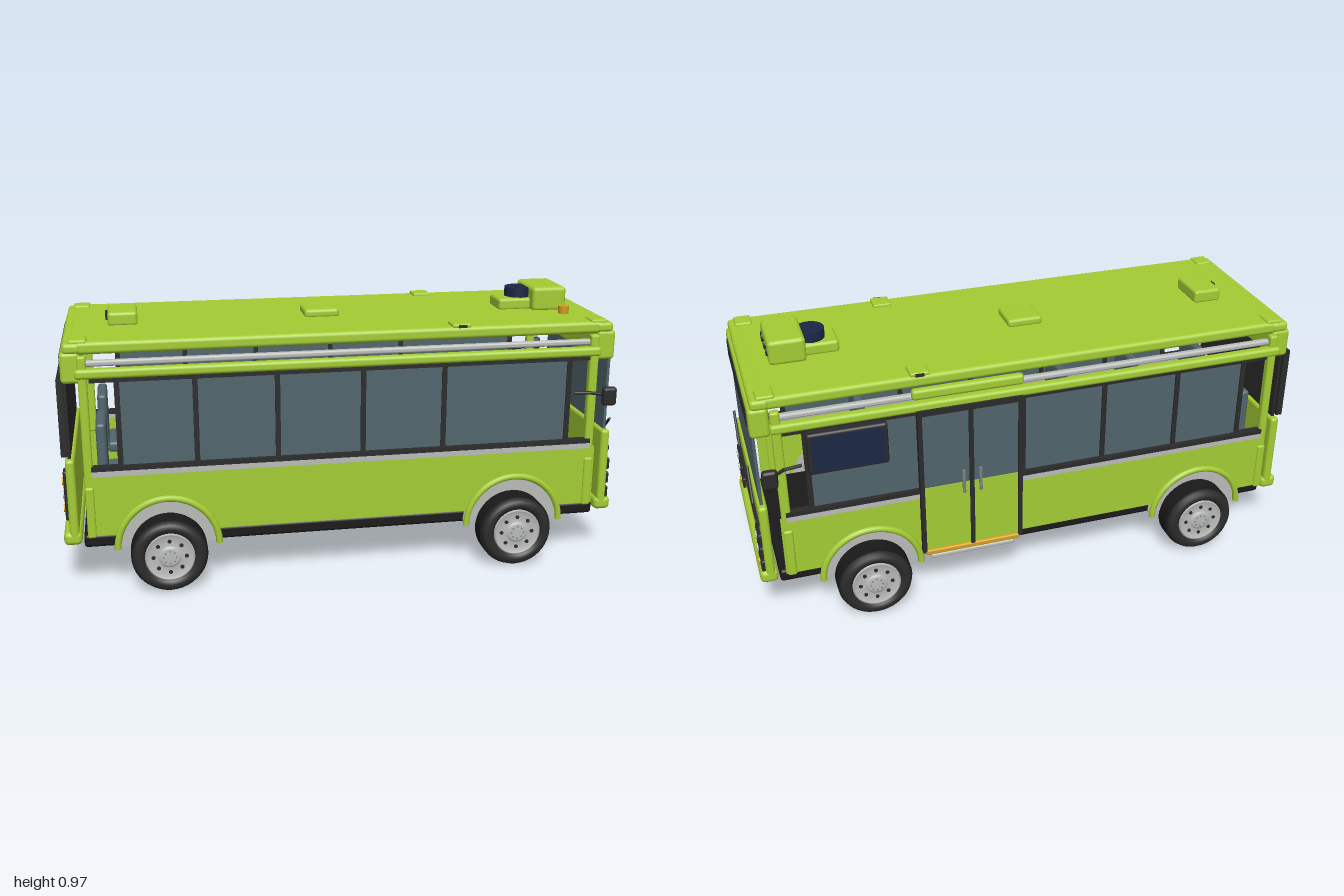
import * as THREE from 'three';
import { RoundedBoxGeometry } from 'three/addons/geometries/RoundedBoxGeometry.js';

const mat = (name, color) => Object.assign(new THREE.MeshStandardMaterial({ color }), { name });

export function createModel() {
  const lime = mat('lime paint', 0xa4cc34), dark = mat('dark trim', 0x2b2b2b), black = mat('black rubber', 0x1a1a1a);
  const glass = mat('tinted glass', 0x50656c), grey = mat('light grey', 0xb9bbb9), amber = mat('amber', 0xd4a021);
  const navy = mat('navy lens', 0x1c2745), steel = mat('steel', 0x7d8587);
  const bus = new THREE.Group();
  bus.name = 'bus';

  const add = (name, geo, m, parent = bus) => {
    const mesh = new THREE.Mesh(geo, m);
    mesh.name = name;
    parent.add(mesh);
    return mesh;
  };
  // boxes given by their limits on each axis; r > 0 rounds the edges
  const box = (name, m, x0, x1, y0, y1, z0, z1, r = 0) => {
    const [za, zb] = z0 < z1 ? [z0, z1] : [z1, z0];
    const w = x1 - x0, h = y1 - y0, d = zb - za;
    const geo = r ? new RoundedBoxGeometry(w, h, d, 3, r) : new THREE.BoxGeometry(w, h, d);
    geo.translate((x0 + x1) / 2, (y0 + y1) / 2, (za + zb) / 2);
    return add(name, geo, m);
  };
  const rod = (name, m, a, b, r) => {
    const p = new THREE.Vector3(...a), q = new THREE.Vector3(...b), dir = q.clone().sub(p);
    const mesh = add(name, new THREE.CylinderGeometry(r, r, dir.length(), 10), m);
    mesh.position.copy(p).add(q).multiplyScalar(0.5);
    mesh.quaternion.setFromUnitVectors(new THREE.Vector3(0, 1, 0), dir.normalize());
    return mesh;
  };

  const axles = [-0.64, 0.61];

  // chassis and roof
  box('chassis', black, -0.93, 0.93, 0.15, 0.197, -0.312, 0.312, 0.012);
  box('roof', lime, -0.94, 0.93, 0.842, 0.885, -0.322, 0.322, 0.014);

  // side panel outline with wheel cut-outs
  const outline = new THREE.Shape();
  outline.moveTo(-0.91, 0.207);
  for (const x of axles) {
    const a = Math.asin((0.207 - 0.15) / 0.18);
    outline.lineTo(x - 0.18 * Math.cos(a), 0.207);
    outline.absarc(x, 0.15, 0.18, Math.PI - a, a, true);
  }
  outline.lineTo(0.91, 0.207);
  outline.lineTo(0.91, 0.425);
  outline.lineTo(-0.91, 0.425);
  outline.closePath();
  const panelGeo = new THREE.ExtrudeGeometry(outline, { depth: 0.02, bevelEnabled: false, curveSegments: 20 });

  // wheel parts shared by all four wheels
  const lathe = (pts) => new THREE.LatheGeometry(pts.map(([r, y]) => new THREE.Vector2(r, y)), 40);
  const innerTyre = lathe([[0, 0.318], [0.133, 0.318], [0.133, 0.318], [0.133, 0.378], [0.133, 0.378], [0.1, 0.379]]);
  const outerTyre = lathe([[0.125, 0.378], [0.128, 0.385], [0.126, 0.396], [0.118, 0.405], [0.104, 0.408], [0.092, 0.404], [0.084, 0.394]]);
  const rimGeo = lathe([[0.086, 0.392], [0.086, 0.403], [0.08, 0.405], [0.074, 0.398], [0.04, 0.396], [0.037, 0.403], [0.028, 0.405], [0, 0.405]]);

  for (const s of [-1, 1]) {
    const side = s > 0 ? 'left' : 'right';
    const panel = add(side + 'LowerPanel', panelGeo, lime);
    panel.position.z = s > 0 ? 0.325 : -0.345;

    // belt line, windows and dividers
    box('beltStripe', grey, -0.89, 0.89, 0.421, 0.441, s * 0.325, s * 0.348);
    box('beltTrim', dark, -0.89, 0.89, 0.441, 0.457, s * 0.322, s * 0.35);
    box('sideWindows', glass, -0.787, 0.8, 0.457, 0.752, s * 0.325, s * 0.333);
    box('windowTopTrim', dark, -0.88, 0.88, 0.75, 0.766, s * 0.32, s * 0.34);
    for (const x of [-0.79, -0.53, -0.25, 0.05, 0.34, 0.8])
      box('windowPillar', dark, x - 0.009, x + 0.009, 0.457, 0.755, s * 0.32, s * 0.338);

    // upper beam, grey rail and corner posts
    box('upperBeam', lime, -0.925, 0.91, 0.766, 0.8, s * 0.32, s * 0.357, 0.012);
    box('roofRail', grey, -0.89, 0.89, 0.803, 0.824, s * 0.308, s * 0.332, 0.008);
    for (const [x0, x1] of [[-0.915, -0.885], [0.873, 0.905]]) {
      box('cornerPost', lime, x0, x1, 0.375, 0.842, s * 0.315, s * 0.345, 0.008);
      box('postFoot', lime, x0, x1, 0.2, 0.385, s * 0.322, s * 0.352, 0.008);
    }

    for (const x of axles) {
      // wheel well and arch
      const well = new THREE.Shape();
      well.absarc(x, 0.15, 0.181, 0, Math.PI, false);
      const wellMesh = add('wheelWell', new THREE.ExtrudeGeometry(well, { depth: 0.006, bevelEnabled: false, curveSegments: 20 }), grey);
      wellMesh.position.z = s > 0 ? 0.314 : -0.32;
      const arch = add('wheelArch', new THREE.TorusGeometry(0.176, 0.012, 8, 28, Math.PI), lime);
      arch.position.set(x, 0.152, s * 0.345);

      // wheel
      const wheel = new THREE.Group();
      wheel.name = 'wheel';
      wheel.position.set(x, 0.133, 0);
      wheel.rotation.x = s * Math.PI / 2;
      bus.add(wheel);
      add('innerTyre', innerTyre, black, wheel);
      add('outerTyre', outerTyre, dark, wheel);
      add('rim', rimGeo, grey, wheel);
      for (let i = 0; i < 8; i++) {
        const a = i * Math.PI / 4;
        add('rimHole', new THREE.CylinderGeometry(0.007, 0.007, 0.004, 10), dark, wheel)
          .position.set(0.057 * Math.cos(a), 0.398, 0.057 * Math.sin(a));
        add('wheelNut', new THREE.CylinderGeometry(0.003, 0.003, 0.004, 6), steel, wheel)
          .position.set(0.022 * Math.cos(a), 0.406, 0.022 * Math.sin(a));
      }
    }

    // mirror
    rod('mirrorArm', dark, [0.82, 0.632, s * 0.342], [0.88, 0.632, s * 0.352], 0.006);
    rod('mirrorArm', dark, [0.88, 0.632, s * 0.352], [0.93, 0.632, s * 0.39], 0.006);
    box('mirror', dark, 0.905, 0.957, 0.595, 0.663, s * 0.378, s * 0.407, 0.012);

    // small roof antenna pads
    box('antennaPad', lime, 0.37, 0.437, 0.88, 0.895, s * 0.248, s * 0.318, 0.006);
    box('antennaCamera', dark, 0.39, 0.42, 0.882, 0.892, s * 0.31, s * 0.323);
  }

  // front and rear ends, mirrored along the length
  for (const e of [1, -1]) {
    const end = (name, m, a, b, ...rest) => box(name, m, Math.min(e * a, e * b), Math.max(e * a, e * b), ...rest);
    end('header', lime, 0.905, 0.972, 0.745, 0.852, -0.326, 0.326, 0.014);
    end('headerCap', lime, 0.9, 0.962, 0.845, 0.882, -0.326, 0.326, 0.014);
    end('headerSign', dark, 0.968, 0.976, 0.765, 0.83, -0.27, 0.27);
    for (const s of [-1, 1]) end('headerLug', lime, 0.88, 0.94, 0.875, 0.892, s * 0.25, s * 0.318, 0.007);
    end('lowerPanel', lime, 0.945, 0.977, 0.17, 0.478, -0.326, 0.326, 0.012);
    end('bumper', lime, 0.935, 0.998, 0.166, 0.215, -0.326, 0.326, 0.018);
    end('endScreen', e > 0 ? glass : dark, 0.957, 0.967, 0.47, 0.75, -0.302, 0.302);
  }
  box('rearTrim', dark, -0.988, -0.965, 0.49, 0.76, -0.318, 0.318);

  // front trim, grille and wipers
  box('frontTrim', dark, 0.97, 0.986, 0.396, 0.41, -0.305, 0.305);
  box('grilleBar', dark, 0.97, 0.984, 0.344, 0.356, -0.18, 0.18);
  for (const z of [0.3, -0.1])
    rod('wiper', dark, [0.982, 0.515, z], [0.984, 0.42, z - 0.1], 0.005);

  // round lens on an end face
  const lens = (name, m, x, y, z, r) => {
    const mesh = add(name, new THREE.CylinderGeometry(r, r, 0.008, 20), m);
    mesh.rotation.z = Math.PI / 2;
    mesh.position.set(x, y, z);
  };
  for (const z of [-0.272, 0.272]) {
    [0.343, 0.288, 0.232].forEach((y, i) => {
      box('lampHousing', dark, 0.965, 0.989, y - 0.022, y + 0.022, z - 0.043, z + 0.043, 0.006);
      lens('headlamp', i < 2 ? grey : amber, 0.99, y, z, 0.014);
    });
    box('tailLampHousing', dark, -0.988, -0.965, 0.25, 0.43, z - 0.025, z + 0.025, 0.006);
    [0.39, 0.34, 0.29].forEach((y, i) => lens('tailLamp', i === 1 ? grey : amber, -0.989, y, z, 0.015));
  }

  // roof equipment
  box('rearRoofPod', lime, -0.812, -0.708, 0.88, 0.93, -0.078, 0.078, 0.012);
  box('rearCamera', dark, -0.82, -0.811, 0.892, 0.922, -0.015, 0.015);
  box('roofHatch', lime, -0.112, 0.015, 0.88, 0.912, -0.065, 0.065, 0.012);
  box('sensorBase', lime, 0.62, 0.76, 0.88, 0.925, -0.06, 0.06, 0.012);
  add('sensorDrum', new THREE.CylinderGeometry(0.05, 0.05, 0.036, 32), navy).position.set(0.71, 0.942, 0);
  box('sensorBox', lime, 0.738, 0.866, 0.88, 0.97, -0.098, 0.098, 0.015);
  for (const z of [-0.058, 0, 0.058]) lens('sensorLens', navy, 0.866, 0.922, z, 0.017);
  add('beacon', new THREE.CylinderGeometry(0.02, 0.018, 0.032, 20), amber).position.set(0.832, 0.898, 0.163);

  // double door on the -z side
  box('doorHeader', lime, 0.05, 0.44, 0.808, 0.846, -0.318, -0.35, 0.012);
  box('doorFrameTop', dark, 0.06, 0.43, 0.755, 0.775, -0.34, -0.367);
  for (const x of [0.06, 0.237, 0.415]) box('doorFramePost', dark, x, x + 0.015, 0.2, 0.76, -0.34, -0.365);
  for (const x of [0.075, 0.252]) {
    box('doorLeaf', lime, x, x + 0.163, 0.207, 0.465, -0.34, -0.358);
    box('doorGlass', glass, x, x + 0.163, 0.465, 0.757, -0.335, -0.355);
  }
  for (const x of [0.215, 0.275])
    rod('doorHandle', steel, [x, 0.43, -0.368], [x, 0.52, -0.368], 0.006);
  box('doorSill', amber, 0.07, 0.42, 0.185, 0.205, -0.31, -0.366, 0.006);
  box('doorStep', grey, 0.09, 0.4, 0.165, 0.182, -0.31, -0.362, 0.006);

  // display screen beside the door
  box('screenHousing', dark, 0.53, 0.8, 0.6, 0.755, -0.33, -0.368, 0.01);
  box('screenFace', navy, 0.545, 0.785, 0.613, 0.742, -0.366, -0.371);

  // cabin seats
  for (const x of [-0.84, -0.55, -0.25, 0.55])
    for (const z of [-0.18, 0.18]) {
      box('seatCushion', glass, x, x + 0.12, 0.36, 0.4, z - 0.09, z + 0.09, 0.012);
      box('seatBack', glass, x - 0.03, x + 0.005, 0.38, 0.585, z - 0.09, z + 0.09, 0.012);
      box('seatLeg', steel, x + 0.03, x + 0.07, 0.19, 0.37, z - 0.02, z + 0.02);
    }
  return bus;
}
